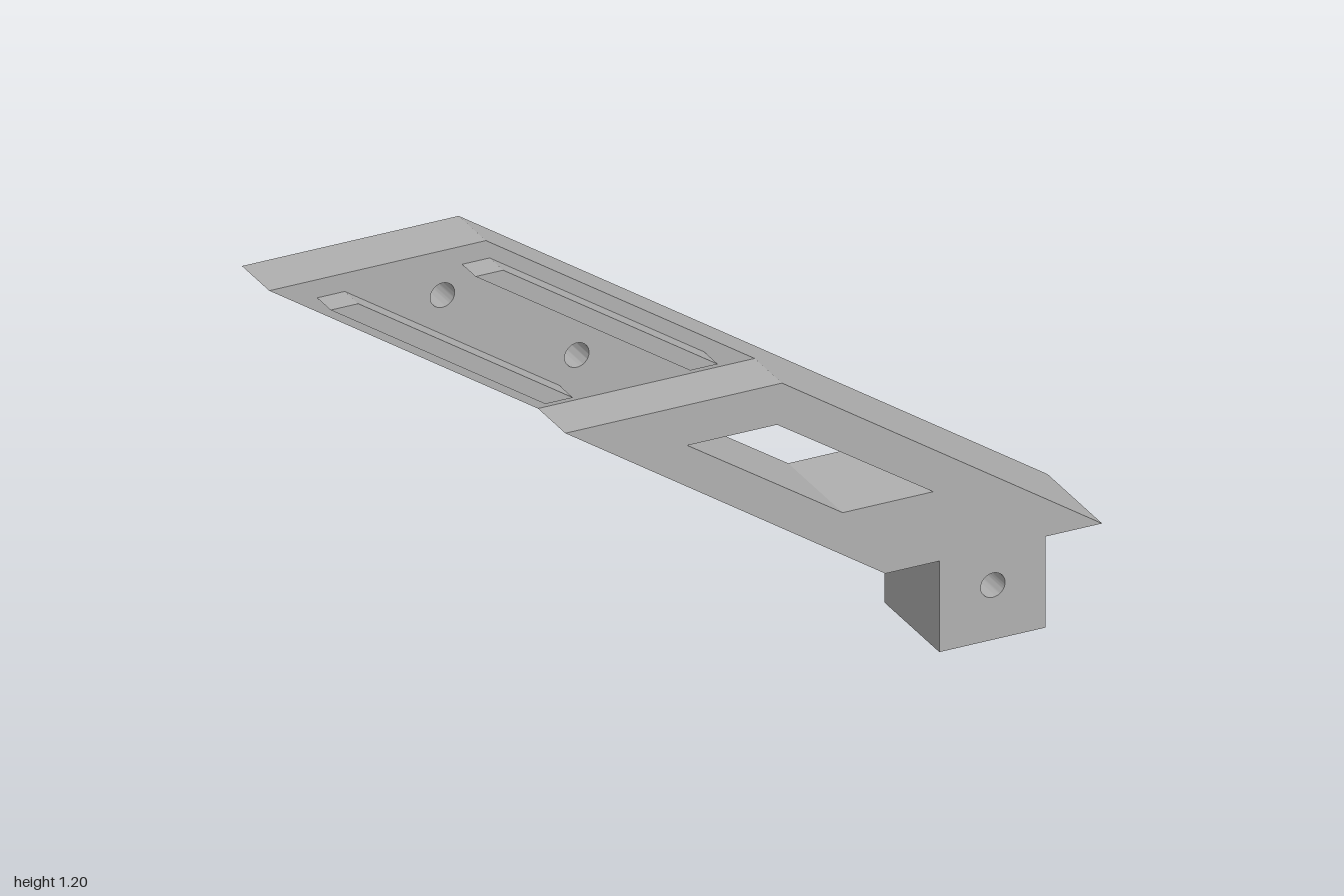
import * as THREE from 'three';
import { toCreasedNormals } from 'three/addons/utils/BufferGeometryUtils.js';

const grey = new THREE.MeshStandardMaterial({ color: 0xb0b0b0 });
grey.name = 'grey';

// Depths of the layers, measured along the plate's own normal
const BACK = -0.113, LEDGE = 0.02, RIB = 0.086, FRONT = 0.153;
const TOP = 1.2, STEP = 0.755, BOTTOM = 0.225;

// Slanted edges of the arm, as x at a given height
const slant = (y) => ((TOP - y) / (TOP - BOTTOM)) * 1.451;
const leftEdge = (y) => -0.994 + slant(y);
const rightEdge = (y) => -0.46 + slant(y);

const polygon = (points) => points.map(([x, y]) => new THREE.Vector2(x, y));

function roundHole(x, y) {
  return new THREE.Path().absarc(x, y, 0.03, 0, Math.PI * 2, true);
}

function windowHole() {
  return new THREE.Path(polygon([[-0.031, 0.655], [0.19, 0.655], [0.575, 0.4], [0.352, 0.4]]).reverse()).closePath();
}

// Arm outline from a chosen top height down, including the square foot
function armOutline(top) {
  return polygon([
    [leftEdge(top), top], [leftEdge(BOTTOM), BOTTOM],
    [0.59, BOTTOM], [0.59, 0], [0.851, 0], [0.851, BOTTOM],
    [rightEdge(BOTTOM), BOTTOM], [rightEdge(top), top],
  ]);
}

function slab(name, outline, holes, from, to) {
  const shape = new THREE.Shape(outline);
  shape.holes.push(...holes);
  const geometry = new THREE.ExtrudeGeometry(shape, { depth: to - from, bevelEnabled: false, curveSegments: 32 });
  geometry.translate(0, 0, from);
  const mesh = new THREE.Mesh(toCreasedNormals(geometry, 0.5), grey);
  mesh.name = name;
  return mesh;
}

export function createModel() {
  const model = new THREE.Group();
  model.name = 'slantedBracket';

  const arm = new THREE.Group();
  arm.name = 'arm';
  arm.rotation.y = 0.073;
  model.add(arm);

  const footHole = () => roundHole(0.722, 0.135);

  // Full-length back plate with screw holes
  arm.add(slab('backPlate', armOutline(TOP),
    [windowHole(), footHole(), roundHole(-0.567, 1.09), roundHole(-0.236, 0.865)], BACK, LEDGE));

  // Thicker lower half, ending in a flat step
  arm.add(slab('lowerBody', armOutline(STEP), [windowHole(), footHole()], LEDGE, FRONT));

  // Two parallel ribs on the recessed upper half
  [['leftRib', -0.876], ['rightRib', -0.519]].forEach(([name, x]) => {
    const run = 0.529, width = 0.068;
    arm.add(slab(name, polygon([
      [x, 1.155], [x + run, 0.8], [x + run + width, 0.8], [x + width, 1.155],
    ]), [], LEDGE - 0.005, RIB));
  });

  return model;
}
